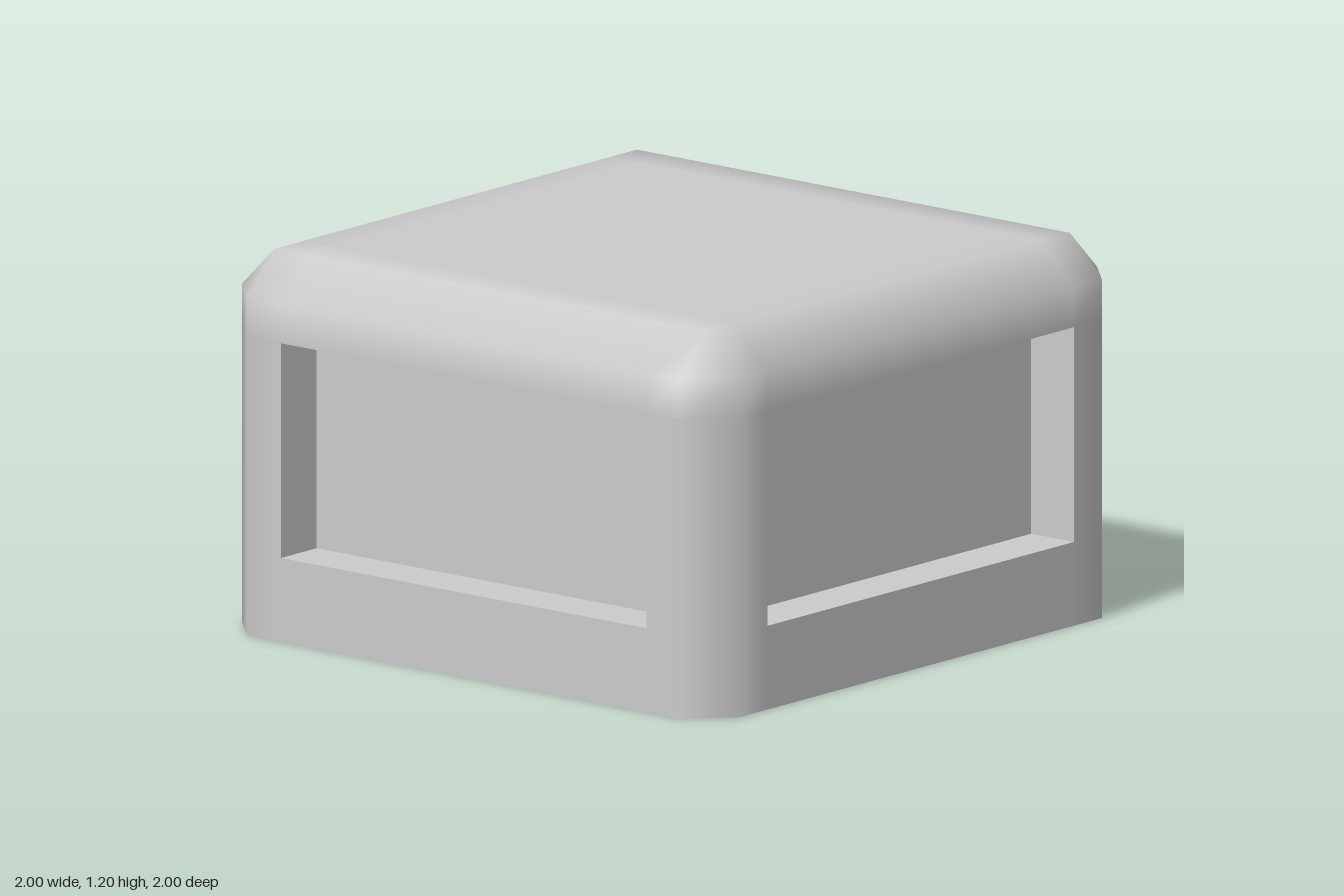
import * as THREE from 'three';

const EDGE = 0.87;     // where the bevel starts on each face
const INSET = 0.735;   // half width of the flat centre and of the recesses
const HEIGHT = 1.2, LOW = 0.265, HIGH = 0.945, DEPTH = 0.172;

const material = new THREE.MeshStandardMaterial({ color: 0xcccccc, side: THREE.DoubleSide });

// Normal share of one axis: full on the face, partial on the bevel edge, none in the flat centre
function share(v, face) {
  const gap = face - Math.abs(v);
  const size = gap < 0.01 ? 1 : gap < 0.14 ? 0.414 : 0;
  return Math.sign(v) * size;
}

// Bevelled shell, open at the bottom: rings of 16 points, with a hole left in each side
function makeShell() {
  // height, distance of the side from the centre, largest half width of the side
  const levels = [
    [0, 1, EDGE], [LOW, 1, EDGE], [HIGH, 1, EDGE], [HEIGHT - 0.13, 1, EDGE],
    [HEIGHT, EDGE, EDGE], [HEIGHT, INSET, INSET], [HEIGHT, 0, 0],
  ];
  const points = [], normals = [], index = [];
  const up = new THREE.Vector3(0, 1, 0);
  for (const [y, out, half] of levels) {
    for (let side = 0; side < 4; side++) {
      for (const u of [-EDGE, -INSET, INSET, EDGE]) {
        const p = new THREE.Vector3(THREE.MathUtils.clamp(u, -half, half), y, out);
        p.applyAxisAngle(up, side * Math.PI / 2);
        points.push(p);
        const n = new THREE.Vector3(share(p.x, 1), share(y, HEIGHT), share(p.z, 1)).normalize();
        normals.push(n.x, n.y, n.z);
      }
    }
  }
  const triangle = (a, b, c) => {
    const [p, q, r] = [points[a], points[b], points[c]];
    const collapsed = [[p, q], [q, r], [r, p]].some(([s, t]) => s.distanceTo(t) < 1e-6);
    if (!collapsed) index.push(a, b, c);
  };
  for (let i = 0; i < levels.length - 1; i++) {
    for (let j = 0; j < 16; j++) {
      if (i === 1 && j % 4 === 1) continue; // recess opening
      const a = i * 16 + j, b = i * 16 + (j + 1) % 16;
      triangle(a, b, b + 16);
      triangle(a, b + 16, a + 16);
    }
  }
  const geometry = new THREE.BufferGeometry().setFromPoints(points);
  geometry.setAttribute('normal', new THREE.Float32BufferAttribute(normals, 3));
  geometry.setIndex(index);
  return geometry;
}

// Recess: a box without its front, turned inside out
function makeRecess() {
  const geometry = new THREE.BoxGeometry(2 * INSET, HIGH - LOW, DEPTH);
  const kept = Array.from(geometry.index.array).filter((_, i) => i < 24 || i >= 30);
  geometry.setIndex(kept.reverse());
  geometry.clearGroups();
  const normal = geometry.attributes.normal;
  for (let i = 0; i < normal.array.length; i++) normal.array[i] *= -1;
  geometry.translate(0, (LOW + HIGH) / 2, 1 - DEPTH / 2);
  return geometry;
}

export function createModel() {
  const model = new THREE.Group();
  model.name = 'bevelledCover';

  const shell = new THREE.Mesh(makeShell(), material);
  shell.name = 'shell';
  model.add(shell);

  const recess = makeRecess();
  ['front', 'left', 'back', 'right'].forEach((side, i) => {
    const panel = new THREE.Mesh(recess, material);
    panel.name = side + 'Recess';
    panel.rotation.y = i * Math.PI / 2;
    model.add(panel);
  });
  return model;
}
